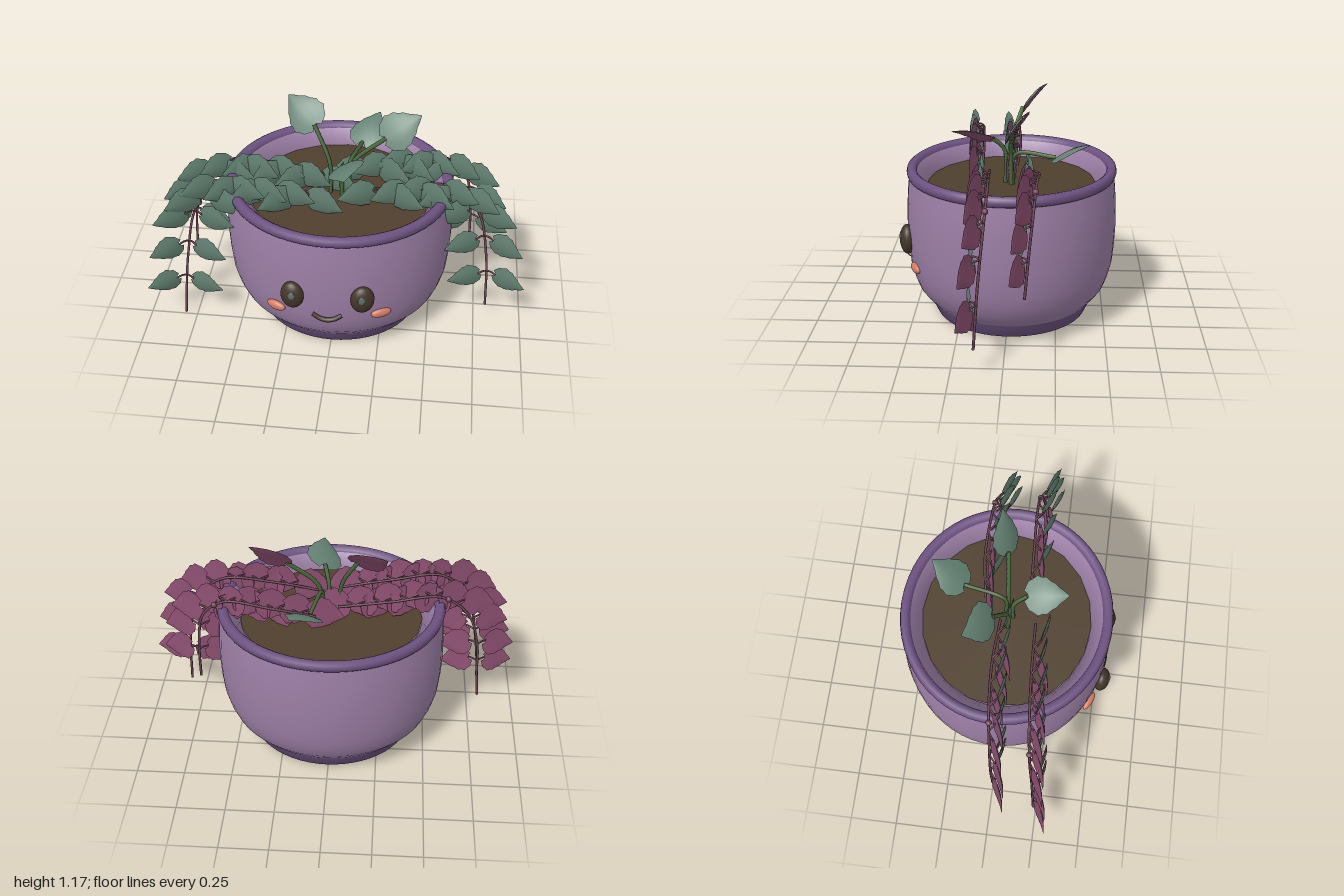
import * as THREE from 'three';
import { mergeGeometries } from 'three/addons/utils/BufferGeometryUtils.js';

const V = (x, y, z) => new THREE.Vector3(x, y, z);
const material = (name, color) => Object.assign(new THREE.MeshStandardMaterial({ color }), { name });

export function createModel() {
  const model = new THREE.Group();
  model.name = 'pottedTrailingPlant';
  const mat = {
    pot: material('potLilac', 0x9c7fa6),
    trim: material('trimPurple', 0x6d5281),
    soil: material('soilBrown', 0x4f402e),
    leafTop: material('leafGreen', 0x648273),
    leafBack: material('leafPlum', 0x8a4e6f),
    vine: material('vineMauve', 0x6e4556),
    stem: material('stemGreen', 0x47683a),
    face: material('faceBrown', 0x43362a),
    glint: material('eyeGlint', 0x5c6a64),
    cheek: material('cheekCoral', 0xd27c64),
  };
  const add = (name, geometry, m, parent = model) => {
    const mesh = new THREE.Mesh(geometry, m);
    mesh.name = name;
    parent.add(mesh);
    return mesh;
  };

  // Pot: slightly wider than deep, turned from profiles
  const pot = new THREE.Group();
  pot.name = 'pot';
  pot.scale.x = 1.08;
  pot.position.set(0.007, 0, -0.012);
  model.add(pot);
  const lathe = (name, pts, m) =>
    add(name, new THREE.LatheGeometry(pts.map(p => new THREE.Vector2(...p)), 56), m, pot);
  lathe('potBody', [[0.432, 0.095], [0.463, 0.13], [0.494, 0.17], [0.517, 0.23], [0.534, 0.3],
    [0.543, 0.4], [0.547, 0.5], [0.545, 0.6], [0.54, 0.68], [0.531, 0.765]], mat.pot);
  lathe('potBase', [[0.122, 0.085], [0.128, 0.055], [0.15, 0.034], [0.19, 0.026], [0.28, 0.02],
    [0.375, 0.01], [0.399, 0.022], [0.433, 0.096]], mat.trim);
  lathe('potRim', [[0.528, 0.755], [0.539, 0.762], [0.544, 0.78], [0.54, 0.8], [0.527, 0.81],
    [0.508, 0.808], [0.494, 0.797], [0.49, 0.78]], mat.trim);
  lathe('potInside', [[0.492, 0.785], [0.434, 0.7], [0.43, 0.4], [0.39, 0.13], [0.122, 0.085]], mat.pot);
  const soil = add('soil', new THREE.CircleGeometry(0.437, 20), mat.soil, pot);
  soil.rotation.x = -Math.PI / 2;
  soil.position.y = 0.708;

  // Face
  for (const s of [-1, 1]) {
    const eye = add(s > 0 ? 'leftEye' : 'rightEye', new THREE.SphereGeometry(1, 24, 16), mat.face);
    eye.scale.set(0.06, 0.079, 0.04);
    eye.position.set(s * 0.176, 0.442, 0.52);
    eye.rotation.y = s * 0.2;
    const glint = add(s > 0 ? 'leftEyeGlint' : 'rightEyeGlint', new THREE.SphereGeometry(1, 16, 10), mat.glint);
    glint.scale.set(0.018, 0.02, 0.004);
    glint.position.set(s * 0.176, 0.463, 0.557);
    glint.rotation.set(-0.2, s * 0.2, 0);
    const cheek = add(s > 0 ? 'leftCheek' : 'rightCheek', new THREE.SphereGeometry(1, 20, 12), mat.cheek);
    cheek.scale.set(0.055, 0.026, 0.02);
    cheek.position.set(s * 0.268, 0.318, 0.469);
    cheek.rotation.y = s * 0.45;
  }
  const smile = new THREE.CatmullRomCurve3([V(-0.075, 0.326, 0.521), V(-0.035, 0.303, 0.528),
    V(0, 0.297, 0.531), V(0.035, 0.303, 0.528), V(0.075, 0.326, 0.521)]);
  add('mouth', new THREE.TubeGeometry(smile, 20, 0.0125, 8), mat.face);

  // One side of a heart-shaped serrated leaf: grows along +y, green side faces +z
  const halfWidths = [0.025, 0.062, 0.079, 0.087, 0.086, 0.079, 0.068, 0.053, 0.036, 0.019, 0.002];
  function leafSide(back) {
    const pos = [], idx = [], cols = 4, n = halfWidths.length;
    halfWidths.forEach((w, i) => {
      const t = i / (n - 1);
      for (let j = -2; j <= 2; j++) {
        const k = j / 2;
        const edge = Math.abs(k) === 1 ? 1 + (i % 2 ? 0.04 : -0.04) : 1;
        const x = w * k * edge;
        const y = 0.185 * t - 0.02 * k * k * (1 - t);
        const bulge = (back ? -1 : 1) * 0.008 * (1 - k * k) * Math.sin(Math.PI * (0.1 + 0.85 * t));
        pos.push(x, y, bulge - 1.2 * x * x - 0.7 * (y - 0.08) ** 2);
      }
    });
    for (let i = 0; i < n - 1; i++) for (let j = 0; j < cols; j++) {
      const a = i * (cols + 1) + j, b = a + 1, c = a + cols + 1, d = c + 1;
      if (back) idx.push(a, c, b, b, c, d);
      else idx.push(a, b, c, b, d, c);
    }
    const g = new THREE.BufferGeometry();
    g.setAttribute('position', new THREE.Float32BufferAttribute(pos, 3));
    g.setIndex(idx);
    g.computeVertexNormals();
    return g;
  }
  const sides = [leafSide(false), leafSide(true)];

  // Collects leaves and stalks, then adds them as three meshes
  function foliage(name, stalkMaterial) {
    const front = [], back = [], stalks = [];
    return {
      leaf(base, direction, normal, size) {
        const y = direction.clone().normalize();
        const x = y.clone().cross(normal).normalize();
        const m = new THREE.Matrix4().makeBasis(x, y, x.clone().cross(y));
        m.scale(V(size, size, size)).setPosition(base);
        front.push(sides[0].clone().applyMatrix4(m));
        back.push(sides[1].clone().applyMatrix4(m));
      },
      stalk(curve, radius, steps) { stalks.push(new THREE.TubeGeometry(curve, steps, radius, 6)); },
      knot(p, r) { stalks.push(new THREE.SphereGeometry(r, 10, 8).translate(p.x, p.y, p.z)); },
      finish() {
        const group = new THREE.Group();
        group.name = name;
        model.add(group);
        add('leafFronts', mergeGeometries(front), mat.leafTop, group);
        add('leafBacks', mergeGeometries(back), mat.leafBack, group);
        add('stalks', mergeGeometries(stalks), stalkMaterial, group);
      },
    };
  }

  // Trailing vines: leaves in pairs, the outer ones swept further forward
  const vines = [
    ['rightFrontVine', -1, [[0.03, 0.78, 0.14], [0.3, 0.83, 0.15], [0.57, 0.855, 0.17], [0.71, 0.7, 0.19],
      [0.775, 0.4, 0.215], [0.815, 0.004, 0.235]], [0.825, 0.67, 0.54, 0.45, 0.37, 0.29, 0.2, 0.1]],
    ['rightBackVine', -1, [[0.03, 0.78, -0.04], [0.3, 0.83, -0.05], [0.56, 0.855, -0.03], [0.7, 0.74, -0.01],
      [0.76, 0.55, 0], [0.775, 0.33, 0.01]], [0.81, 0.66, 0.54, 0.43, 0.32, 0.2, 0.08]],
    ['leftFrontVine', 1, [[0.05, 0.78, 0.1], [0.3, 0.83, 0.09], [0.58, 0.85, 0.08], [0.72, 0.72, 0.09],
      [0.785, 0.45, 0.115], [0.805, 0.13, 0.137]], [0.835, 0.67, 0.54, 0.44, 0.35, 0.26, 0.14]],
    ['leftBackVine', 1, [[0.08, 0.78, -0.13], [0.3, 0.84, -0.16], [0.54, 0.865, -0.15], [0.65, 0.78, -0.14],
      [0.69, 0.58, -0.12], [0.7, 0.345, -0.1]], [0.82, 0.66, 0.54, 0.43, 0.32, 0.2, 0.08]],
  ];
  for (const [name, side, pts, stops] of vines) {
    const f = foliage(name, mat.vine);
    const curve = new THREE.CatmullRomCurve3(pts.map(([x, y, z]) => V(side * x, y, z)));
    f.stalk(curve, 0.007, 48);
    f.knot(curve.getPointAt(0.5), 0.016);
    stops.forEach((u, i) => {
      const p = curve.getPointAt(u);
      for (const s of [-1, 1]) {
        const sweep = s === side ? 0.38 : 0.17;
        const base = p.clone().add(V(s * 0.045, 0, 0.032 + 0.008 * (i % 2)));
        const direction = V(s, -0.3 - 0.12 * (i % 2), sweep);
        f.leaf(base, direction, V(-s * sweep, -0.14, 1), 1.04 - 0.18 * u);
        const bend = p.clone().add(V(s * 0.025, 0.01, 0.012));
        f.stalk(new THREE.QuadraticBezierCurve3(p, bend, base), 0.005, 4);
      }
    });
    f.finish();
  }

  // Upright young leaves on green stems: root, base of leaf, tip, facing, size
  const sprouts = [
    [V(-0.04, 0.7, 0), V(-0.13, 1.075, -0.065), V(-0.3, 1.185, -0.2), V(-0.2, 0.6, 0.8), 1.15],
    [V(0.06, 0.7, -0.01), V(0.235, 1.04, -0.03), V(0.425, 1.17, -0.08), V(-0.3, 0.5, 0.85), 1.15],
    [V(0.05, 0.7, -0.02), V(0.1, 0.868, -0.24), V(0.19, 0.975, -0.43), V(-0.1, 1, 0.35), 1.13],
    [V(0.02, 0.7, 0.02), V(0.045, 0.955, 0.09), V(0.055, 0.995, 0.3), V(-0.5, 1, -0.05), 1.12],
  ];
  const shoots = foliage('uprightSprouts', mat.stem);
  for (const [root, base, tip, normal, size] of sprouts) {
    const bend = V(root.x, Math.min(base.y, 0.88), root.z).lerp(base, 0.06);
    shoots.stalk(new THREE.CatmullRomCurve3([root, bend, base]), 0.011, 16);
    shoots.leaf(base, tip.clone().sub(base), normal, size);
  }
  shoots.finish();
  return model;
}
